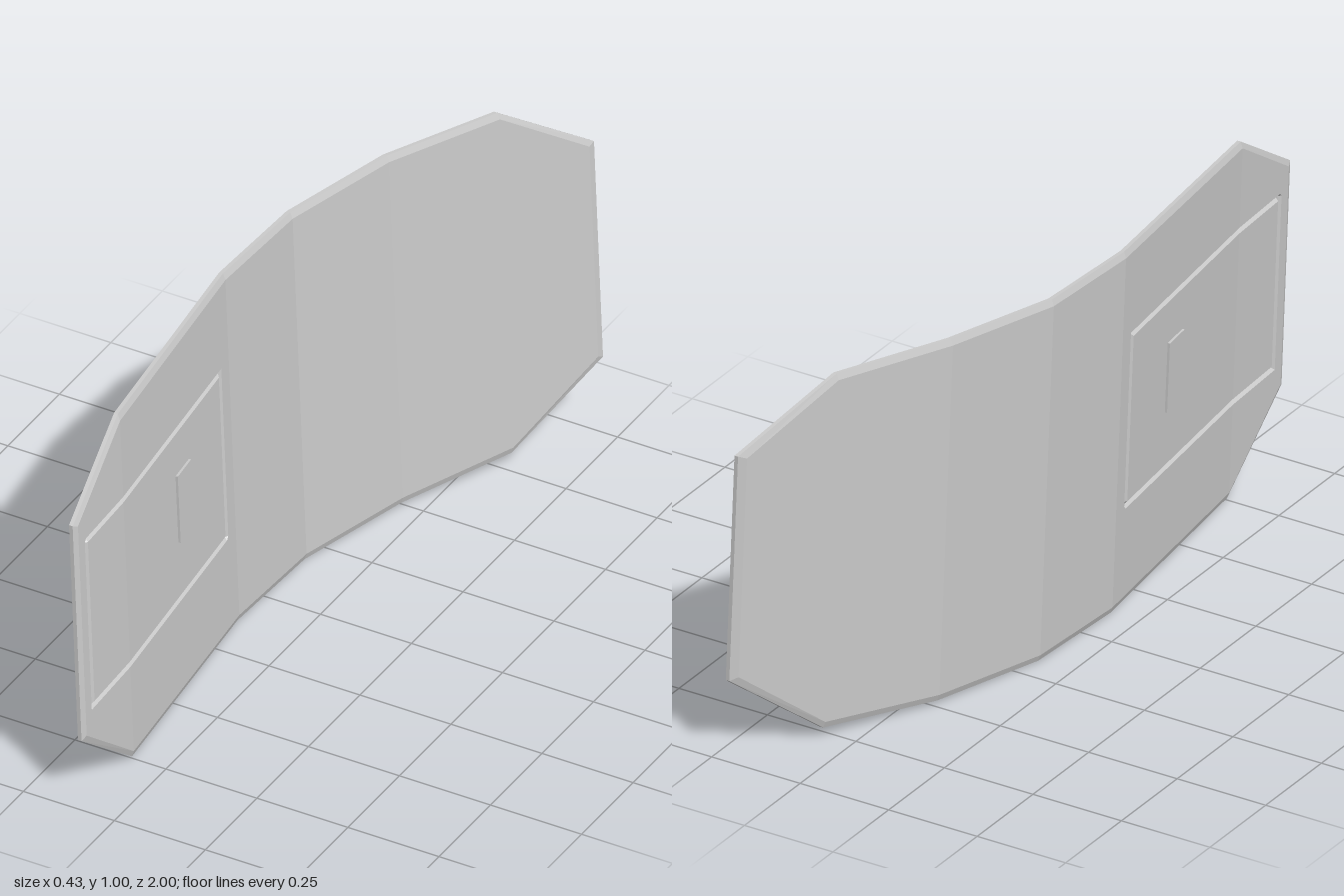
import * as THREE from 'three';

// Stations along the plate: z, middle x at half height, bottom y, top y
const STATIONS = [
  [1, -0.107, 0.2, 0.815],
  [0.75, -0.118, 0.005, 0.985],
  [0.12, -0.185, 0, 0.993],
  [-0.18, -0.17, 0.003, 0.996],
  [-0.49, -0.08, 0.011, 1.005],
  [-0.78, 0.06, 0.03, 1.003],
  [-1, 0.194, 0.22, 0.837],
];
const LEAN = 0.04;
const HALF = 0.011; // half thickness of the plate
const EDGE = 0.005; // half thickness of the flat rim
const PANEL = { z0: 0.172, z1: 0.945, y0: 0.271, y1: 0.742 };
const GROOVE = 0.008;

// Linear interpolation of one column over stations sorted by falling z
function sample(rows, z, col) {
  let i = 0;
  while (i < rows.length - 2 && z < rows[i + 1][0]) i++;
  const a = rows[i], b = rows[i + 1];
  return a[col] + (b[col] - a[col]) * (a[0] - z) / (a[0] - b[0]);
}

// Outline of the flat faces, inside the chamfer
const INSET = STATIONS.map(([z, x, lo, hi]) => {
  const end = Math.abs(z) === 1;
  const zi = end ? z * 0.984 : z;
  const dy = end ? 0.008 : 0.017;
  return [zi, sample(STATIONS, zi, 1), lo + dy, hi - dy];
});

const point = (z, y, offset) =>
  [sample(STATIONS, z, 1) - LEAN * (y - 0.5) + offset, y, z];

function plateGeometry() {
  const pos = [];
  const quad = (a, b, c, d, flip) => {
    const q = flip ? [a, d, c, b] : [a, b, c, d];
    for (const k of [0, 1, 2, 0, 2, 3]) pos.push(...q[k]);
  };

  // Both broad faces, with a V groove around the panel
  const { z0, z1, y0, y1 } = PANEL;
  const around = (v) => [v + GROOVE, v, v - GROOVE];
  const zs = [...INSET.map((s) => s[0]), ...around(z0), ...around(z1)].sort((a, b) => b - a);
  const rows = [...around(y0), ...around(y1)].sort((a, b) => a - b);
  const depth = (z, y) => {
    const inZ = z >= z0 && z <= z1, inY = y >= y0 && y <= y1;
    return inZ && inY && (z === z0 || z === z1 || y === y0 || y === y1) ? 0.007 : 0;
  };
  for (const side of [1, -1]) {
    const grid = zs.map((z) =>
      [sample(INSET, z, 2), ...rows, sample(INSET, z, 3)]
        .map((y) => point(z, y, side * (HALF - depth(z, y)))));
    for (let i = 0; i < grid.length - 1; i++) {
      for (let j = 0; j < grid[i].length - 1; j++) {
        quad(grid[i][j], grid[i + 1][j], grid[i + 1][j + 1], grid[i][j + 1], side < 0);
      }
    }
  }

  // Chamfered rim: four rings running round the outline
  const ring = (rowsIn, offset) => [
    ...rowsIn.map((s) => point(s[0], s[3], offset)),
    ...[...rowsIn].reverse().map((s) => point(s[0], s[2], offset)),
  ];
  const rings = [ring(INSET, HALF), ring(STATIONS, EDGE), ring(STATIONS, -EDGE), ring(INSET, -HALF)];
  for (let r = 0; r < 3; r++) {
    const A = rings[r], B = rings[r + 1];
    for (let k = 0; k < A.length; k++) {
      const n = (k + 1) % A.length;
      quad(A[k], A[n], B[n], B[k], false);
    }
  }

  const geo = new THREE.BufferGeometry();
  geo.setAttribute('position', new THREE.Float32BufferAttribute(pos, 3));
  geo.computeVertexNormals();
  return geo;
}

export function createModel() {
  const group = new THREE.Group();
  group.name = 'curvedPlate';
  const material = new THREE.MeshStandardMaterial({ color: 0xcccccc, flatShading: true });

  const plate = new THREE.Mesh(plateGeometry(), material);
  plate.name = 'plate';
  group.add(plate);

  // Small latch standing proud of the panel on both faces
  const latch = new THREE.Mesh(new THREE.BoxGeometry(HALF * 2 + 0.012, 0.19, 0.08), material);
  latch.name = 'latch';
  latch.position.set(...point(0.41, 0.525, 0));
  const slope = (STATIONS[1][1] - STATIONS[2][1]) / (STATIONS[1][0] - STATIONS[2][0]);
  latch.rotation.set(0, Math.atan(slope), LEAN);
  group.add(latch);

  return group;
}
